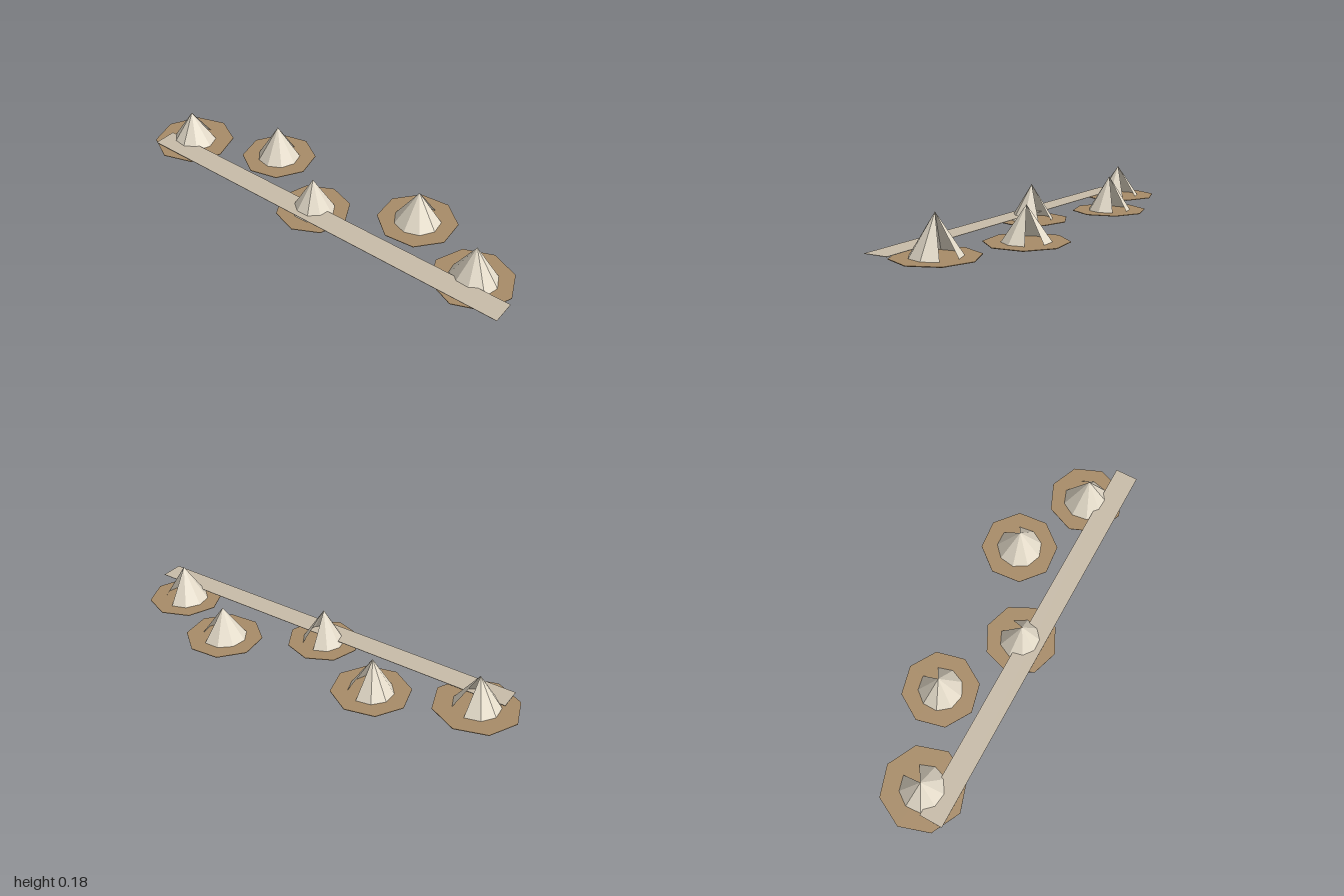
import * as THREE from 'three';

const canvasMat = new THREE.MeshStandardMaterial({ color: 0xe6ddcb, flatShading: true, side: THREE.DoubleSide });
const earthMat = new THREE.MeshStandardMaterial({ color: 0xa88c68, flatShading: true });
const pathMat = new THREE.MeshStandardMaterial({ color: 0xc8bca9, flatShading: true });

const PAD = 0.003; // thickness of the ground pads

// x, z, pad height, turn, pad radius, tent radius, tent height
const camps = [
  [-0.807, 0.068, 0.0145, -0.08, 0.193, 0.106, 0.155],
  [-0.385, -0.091, 0.011, -0.15, 0.178, 0.102, 0.164],
  [0, 0.115, 0.0075, 0.08, 0.17, 0.099, 0.163],
  [0.411, -0.115, 0.0035, -0.3, 0.182, 0.107, 0.153],
  [0.795, 0.05, 0, 0, 0.181, 0.109, 0.172],
];

// Octagonal earth pad with a faceted conical tent, one eighth left open as the doorway
function createCamp([x, z, y, turn, padRadius, radius, height]) {
  const camp = new THREE.Group();
  camp.name = 'camp';
  camp.position.set(x, y, z);
  camp.rotation.y = turn;

  const pad = new THREE.Mesh(new THREE.CylinderGeometry(padRadius, padRadius, PAD, 8), earthMat);
  pad.name = 'groundPad';
  pad.position.y = PAD / 2;

  const tent = new THREE.Mesh(
    new THREE.ConeGeometry(radius, height, 8, 1, true, Math.PI, Math.PI * 1.75), canvasMat);
  tent.name = 'tent';
  tent.position.y = PAD + height / 2;

  camp.add(pad, tent);
  return camp;
}

export function createModel() {
  const model = new THREE.Group();
  model.name = 'tentCamp';
  for (const c of camps) model.add(createCamp(c));

  // Straight path raised just above the pads
  const path = new THREE.Mesh(new THREE.BoxGeometry(1.914, 0.002, 0.109), pathMat);
  path.name = 'path';
  path.position.set(0.043, 0.033, 0.168);
  model.add(path);
  return model;
}
